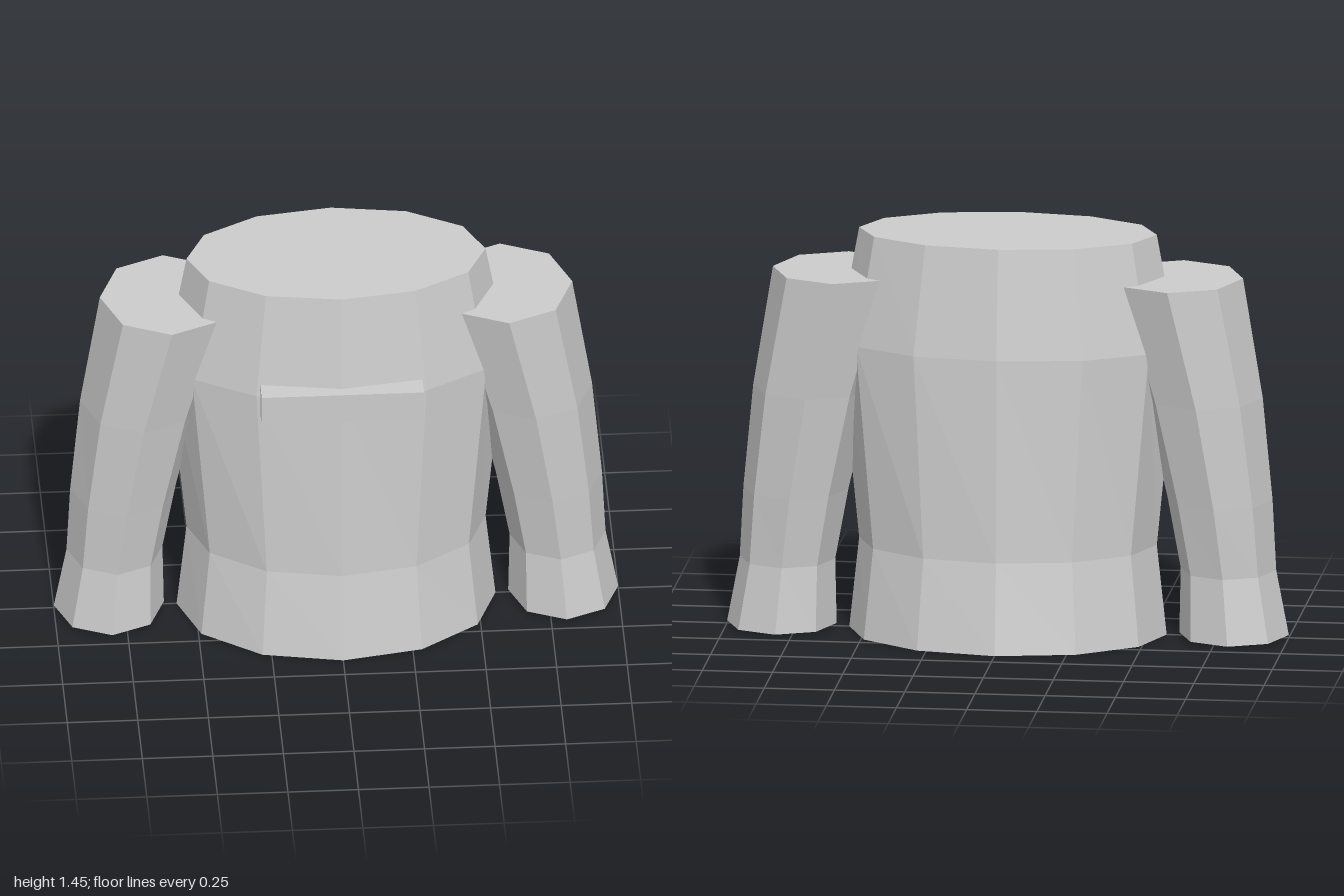
import * as THREE from 'three';

const cloth = new THREE.MeshStandardMaterial({ color: 0xcccccc });
cloth.name = 'light grey';

// Closed faceted solid through elliptical rings [y, centreX, radiusX, radiusZ], listed bottom to top
function loft(rings, sides) {
  const point = ([y, cx, rx, rz], i) => {
    const a = (i / sides) * Math.PI * 2;
    return [cx + rx * Math.cos(a), y, rz * Math.sin(a)];
  };
  const pos = [];
  const tri = (...corners) => corners.forEach((c) => pos.push(...c));
  const bottom = rings[0], top = rings[rings.length - 1];
  for (let i = 0; i < sides; i++) {
    for (let r = 0; r < rings.length - 1; r++) {
      const a = point(rings[r], i), b = point(rings[r], i + 1);
      const c = point(rings[r + 1], i + 1), d = point(rings[r + 1], i);
      tri(a, d, c);
      tri(a, c, b);
    }
    // End caps
    tri([bottom[1], bottom[0], 0], point(bottom, i), point(bottom, i + 1));
    tri([top[1], top[0], 0], point(top, i + 1), point(top, i));
  }
  const g = new THREE.BufferGeometry();
  g.setAttribute('position', new THREE.Float32BufferAttribute(pos, 3));
  g.computeVertexNormals();
  return g;
}

export function createModel() {
  const model = new THREE.Group();
  model.name = 'jacket';
  const add = (name, geometry) => {
    const mesh = new THREE.Mesh(geometry, cloth);
    mesh.name = name;
    model.add(mesh);
    return mesh;
  };

  // Twelve-sided torso, flared at the hem and narrowing to the shoulders
  add('torso', loft([
    [0, 0, 0.565, 0.408],
    [0.325, 0, 0.53, 0.362],
    [1.055, 0, 0.602, 0.347],
    [1.45, 0, 0.53, 0.3],
  ], 12));

  // Eight-sided sleeves curving outward and flaring at the cuff
  for (const [name, s] of [['leftSleeve', 1], ['rightSleeve', -1]]) {
    add(name, loft([
      [0.01, s * 0.805, 0.195, 0.208],
      [0.245, s * 0.785, 0.17, 0.18],
      [0.5, s * 0.755, 0.187, 0.2],
      [0.87, s * 0.695, 0.212, 0.228],
      [1.3, s * 0.597, 0.24, 0.26],
    ], 8));
  }

  // Raised bar across the chest
  add('chestBar', new THREE.BoxGeometry(0.575, 0.115, 0.085)).position.set(0, 1.043, 0.34);

  return model;
}
